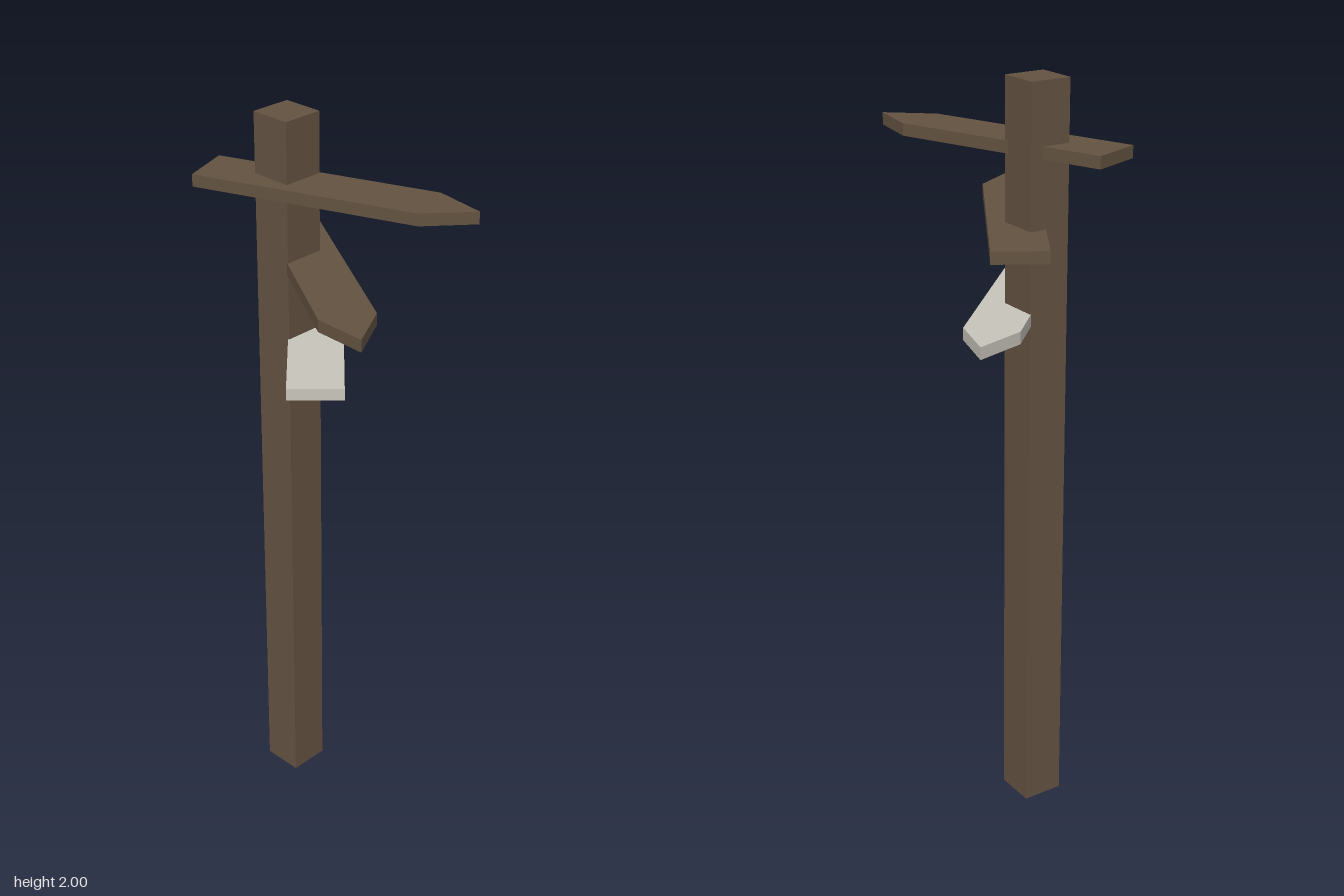
import * as THREE from 'three';

const brown = new THREE.MeshStandardMaterial({ color: 0x645341 });
brown.name = 'brownWood';
const pale = new THREE.MeshStandardMaterial({ color: 0xc8c5bb });
pale.name = 'paleWood';

const WIDTH = 0.142, THICK = 0.032;

// Pointed plank: square end at the origin, tip towards +x, lying flat
function board(name, material, x, y, z, angle, length, point) {
  const h = WIDTH / 2;
  const shape = new THREE.Shape([
    new THREE.Vector2(0, -h),
    new THREE.Vector2(length, -h),
    new THREE.Vector2(length + point, 0),
    new THREE.Vector2(length, h),
    new THREE.Vector2(0, h),
  ]);
  const geometry = new THREE.ExtrudeGeometry(shape, { depth: THICK, bevelEnabled: false });
  geometry.rotateX(-Math.PI / 2);
  const mesh = new THREE.Mesh(geometry, material);
  mesh.name = name;
  mesh.position.set(x, y, z);
  mesh.rotation.y = angle;
  return mesh;
}

export function createModel() {
  const group = new THREE.Group();
  group.name = 'signpost';

  // Square upright post
  const post = new THREE.Mesh(new THREE.BoxGeometry(0.112, 2, 0.112), brown);
  post.name = 'post';
  post.position.set(-0.142, 1, 0.019);
  group.add(post);

  // Direction boards, each turned its own way
  group.add(
    board('topBoard', brown, -0.3275, 1.81, 0.1215, 0.349, 0.599, 0.126),
    board('middleBoard', brown, -0.318, 1.604, -0.148, -0.549, 0.638, 0.126),
    board('lowerBoard', pale, 0.1485, 1.394, 0.215, Math.PI - 0.79, 0.553, 0.129),
  );
  return group;
}
